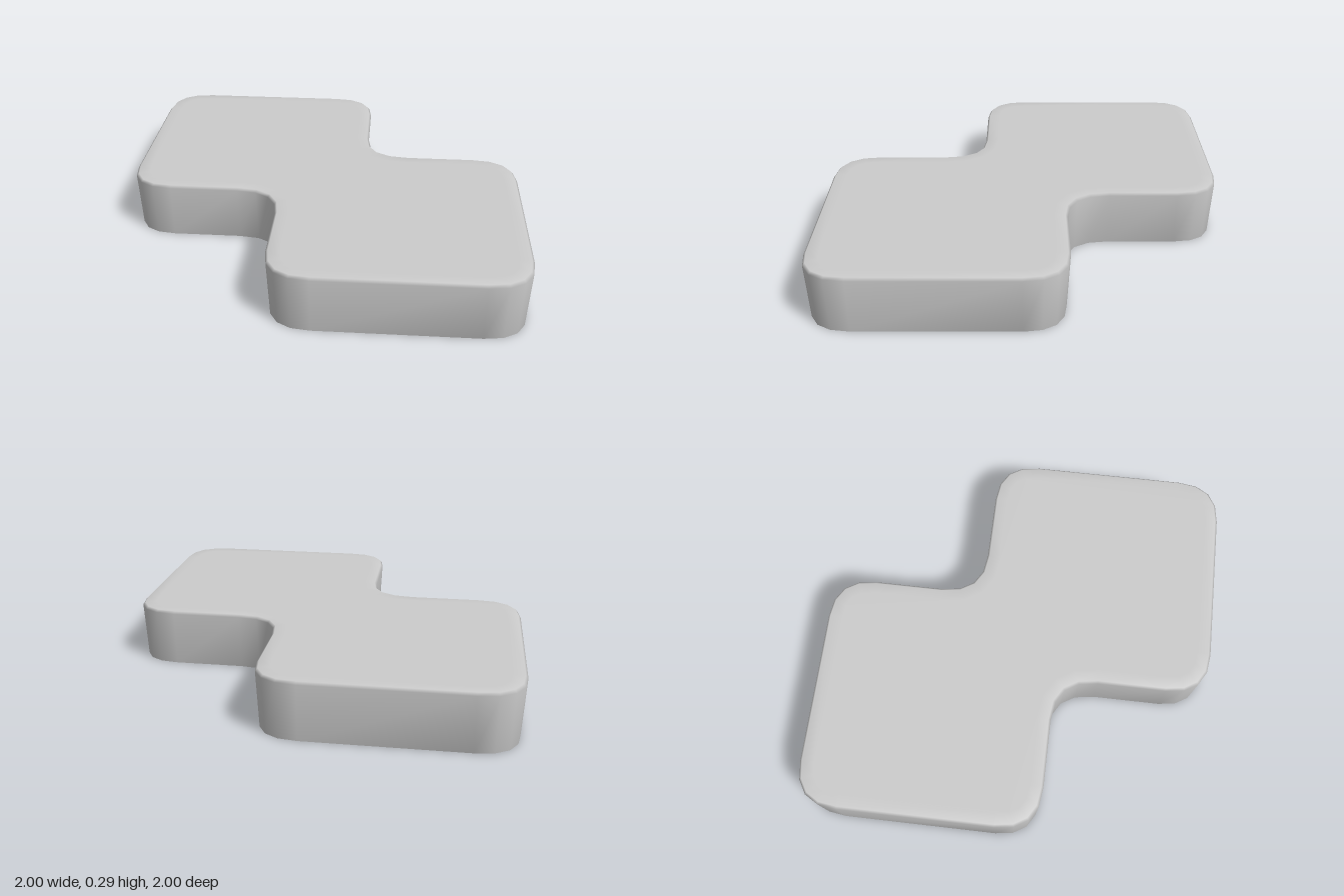
import * as THREE from 'three';

// Corners of the stepped outline as [x, z], with +1 for outer and -1 for inner corners
const N = 0.215;
const half = [[-1, -1, 1], [N, -1, 1], [N, -N, -1], [1, -N, 1]];
const corners = [...half, ...half.map(([x, z, s]) => [-x, -z, s])];
const ROUND = 0.22, STEPS = 4;

// Rounded outline, moved inward by d
function outline(d) {
  const n = corners.length;
  const pts = corners.map(([x, z], i) => {
    const prev = corners[(i + n - 1) % n], next = corners[(i + 1) % n];
    const p = new THREE.Vector2(x, z);
    const a = p.clone().sub(new THREE.Vector2(prev[0], prev[1])).normalize();
    const b = new THREE.Vector2(next[0], next[1]).sub(p).normalize();
    // the inward side of a direction (u, v) is (-v, u)
    p.x -= (a.y + b.y) * d;
    p.y += (a.x + b.x) * d;
    return { p, a, b };
  });
  return pts.flatMap(({ p, a, b }, i) => {
    const r = ROUND - corners[i][2] * d;
    const curve = new THREE.QuadraticBezierCurve(
      p.clone().addScaledVector(a, -r), p, p.clone().addScaledVector(b, r));
    return curve.getPoints(STEPS);
  });
}

// Loft through [inset, height] rings, closed with a flat cap at both ends
function slabGeometry(rings) {
  const loops = rings.map(([d]) => outline(d));
  const n = loops[0].length;
  const pos = [], index = [];
  loops.forEach((loop, k) => loop.forEach((p) => pos.push(p.x, rings[k][1], p.y)));

  for (let k = 0; k < rings.length - 1; k++) {
    for (let i = 0; i < n; i++) {
      const j = (i + 1) % n;
      const a = k * n + i, b = a + n, c = k * n + j, e = c + n;
      index.push(a, b, c, c, b, e);
    }
  }

  const cap = (k, up) => {
    const pts = loops[k];
    for (const [a, b, c] of THREE.ShapeUtils.triangulateShape(pts.slice(), [])) {
      const u = pts[b].clone().sub(pts[a]), v = pts[c].clone().sub(pts[a]);
      const facesUp = u.y * v.x - u.x * v.y > 0;
      const t = facesUp === up ? [a, b, c] : [a, c, b];
      index.push(...t.map((q) => q + k * n));
    }
  };
  cap(0, false);
  cap(rings.length - 1, true);

  const g = new THREE.BufferGeometry();
  g.setAttribute('position', new THREE.Float32BufferAttribute(pos, 3));
  g.setIndex(index);
  g.computeVertexNormals();
  return g;
}

export function createModel() {
  const group = new THREE.Group();
  group.name = 'steppedTile';

  // Slightly tapered sides with a softened top edge
  const slab = new THREE.Mesh(
    slabGeometry([[0.06, 0], [0.014, 0], [0, 0.277], [0.012, 0.29], [0.07, 0.29]]),
    new THREE.MeshStandardMaterial({ color: 0xcccccc }));
  slab.name = 'slab';
  group.add(slab);
  return group;
}
